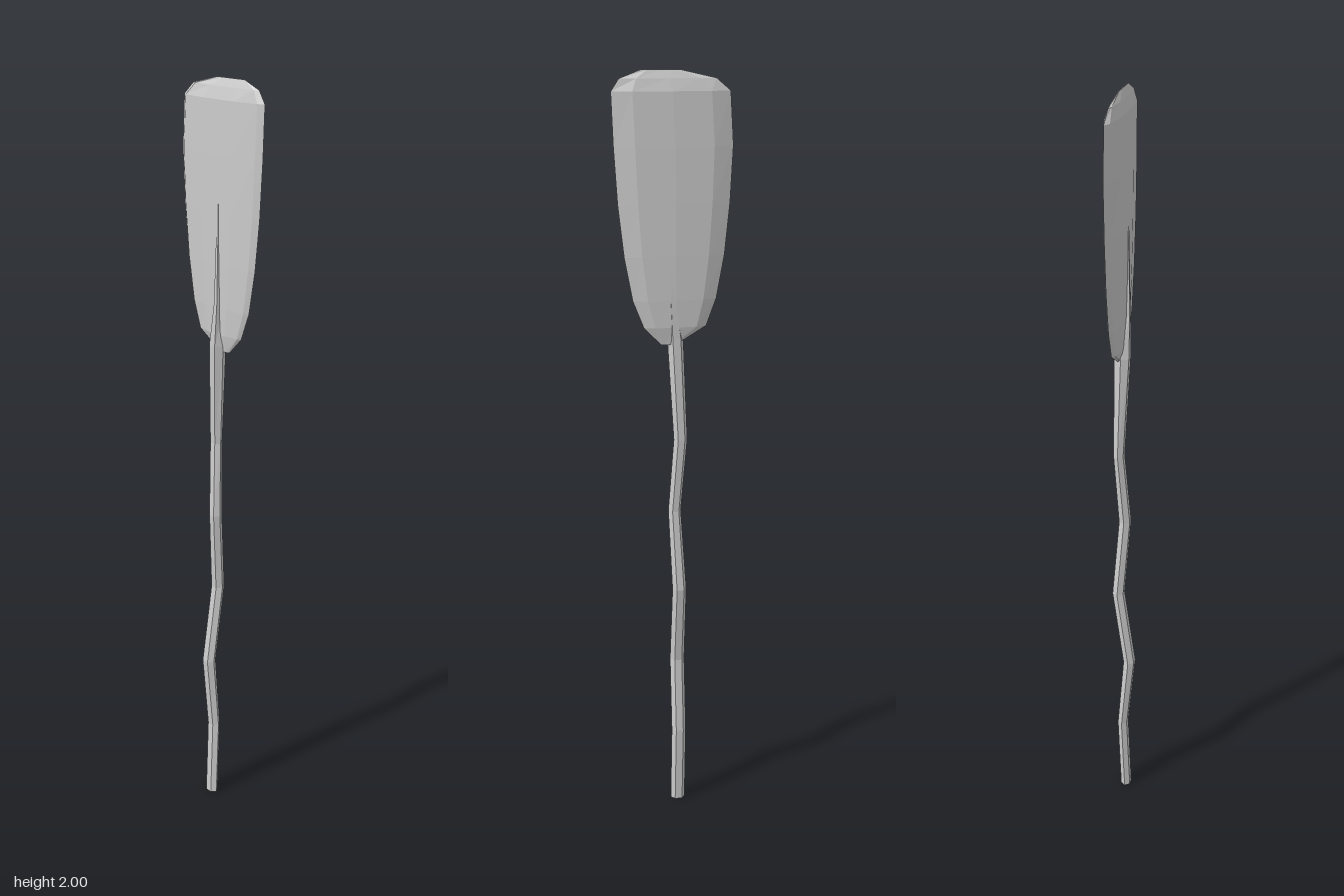
import * as THREE from 'three';

// Skins a stack of equal-length point rings and caps both ends.
function loft(name, rings, material) {
  const n = rings[0].length, pos = rings.flat(2), index = [];
  for (let r = 0; r < rings.length - 1; r++) {
    for (let i = 0; i < n; i++) {
      const a = r * n + i, b = r * n + (i + 1) % n;
      index.push(a, a + n, b, b, a + n, b + n);
    }
  }
  const top = (rings.length - 1) * n;
  for (let i = 1; i < n - 1; i++) {
    index.push(0, i, i + 1, top, top + i + 1, top + i);
  }
  const geometry = new THREE.BufferGeometry();
  geometry.setAttribute('position', new THREE.Float32BufferAttribute(pos, 3));
  geometry.setIndex(index);
  geometry.computeVertexNormals();
  const mesh = new THREE.Mesh(geometry, material);
  mesh.name = name;
  return mesh;
}

export function createModel() {
  const group = new THREE.Group();
  group.name = 'paddle';
  const material = new THREE.MeshStandardMaterial({ color: 0xcccccc, flatShading: true });

  // Crooked shaft, thinning into a rib along the blade: y, centre x, centre z, radius x, radius z
  const shaftRows = [
    [0, -0.02, 0.011, 0.02, 0.014],
    [0.22, -0.021, 0.002, 0.02, 0.014],
    [0.43, -0.02, 0.02, 0.02, 0.016],
    [0.65, -0.019, -0.011, 0.019, 0.016],
    [0.87, -0.009, 0.005, 0.017, 0.016],
    [1.07, -0.022, -0.008, 0.018, 0.014],
    [1.34, -0.009, -0.002, 0.021, 0.021],
    [1.45, 0.002, -0.005, 0.011, 0.022],
    [1.65, 0.005, -0.008, 0.006, 0.021],
    [1.88, 0.005, -0.009, 0.003, 0.018],
  ];
  const shaftRings = shaftRows.map(([y, cx, cz, rx, rz]) =>
    Array.from({ length: 6 }, (_, i) => {
      const a = -i * Math.PI / 3;
      return [cx + rx * Math.cos(a), y, cz + rz * Math.sin(a) / 0.95];
    }).reverse());

  // Flat blade with a lens section: y, left edge, right edge, half thickness
  const bladeRows = [
    [1.325, -0.012, 0.03, 0.005],
    [1.37, -0.088, 0.074, 0.013],
    [1.44, -0.114, 0.102, 0.016],
    [1.55, -0.134, 0.123, 0.018],
    [1.68, -0.147, 0.138, 0.019],
    [1.82, -0.154, 0.147, 0.019],
    [1.95, -0.146, 0.152, 0.017],
    [1.98, -0.11, 0.132, 0.009],
    [2, -0.02, 0.08, 0.001],
  ];
  const section = [[1, 0], [0.88, 0.5], [0.38, 1], [-0.38, 1], [-0.88, 0.5],
    [-1, -0.1], [-0.66, -0.85], [0, -1], [0.66, -0.75]];
  const bladeRings = bladeRows.map(([y, x0, x1, t]) =>
    section.map(([u, v]) => [(x0 + x1) / 2 + u * (x1 - x0) / 2, y, -0.009 + v * t]));

  // Wind both sets of rings the same way so that faces point outward
  const outward = (rings) => rings.map((ring) => {
    let area = 0;
    ring.forEach((p, i) => {
      const q = ring[(i + 1) % ring.length];
      area += p[0] * q[2] - q[0] * p[2];
    });
    return area < 0 ? [...ring].reverse() : ring;
  });

  group.add(loft('shaft', outward(shaftRings), material));
  group.add(loft('blade', outward(bladeRings), material));
  return group;
}
